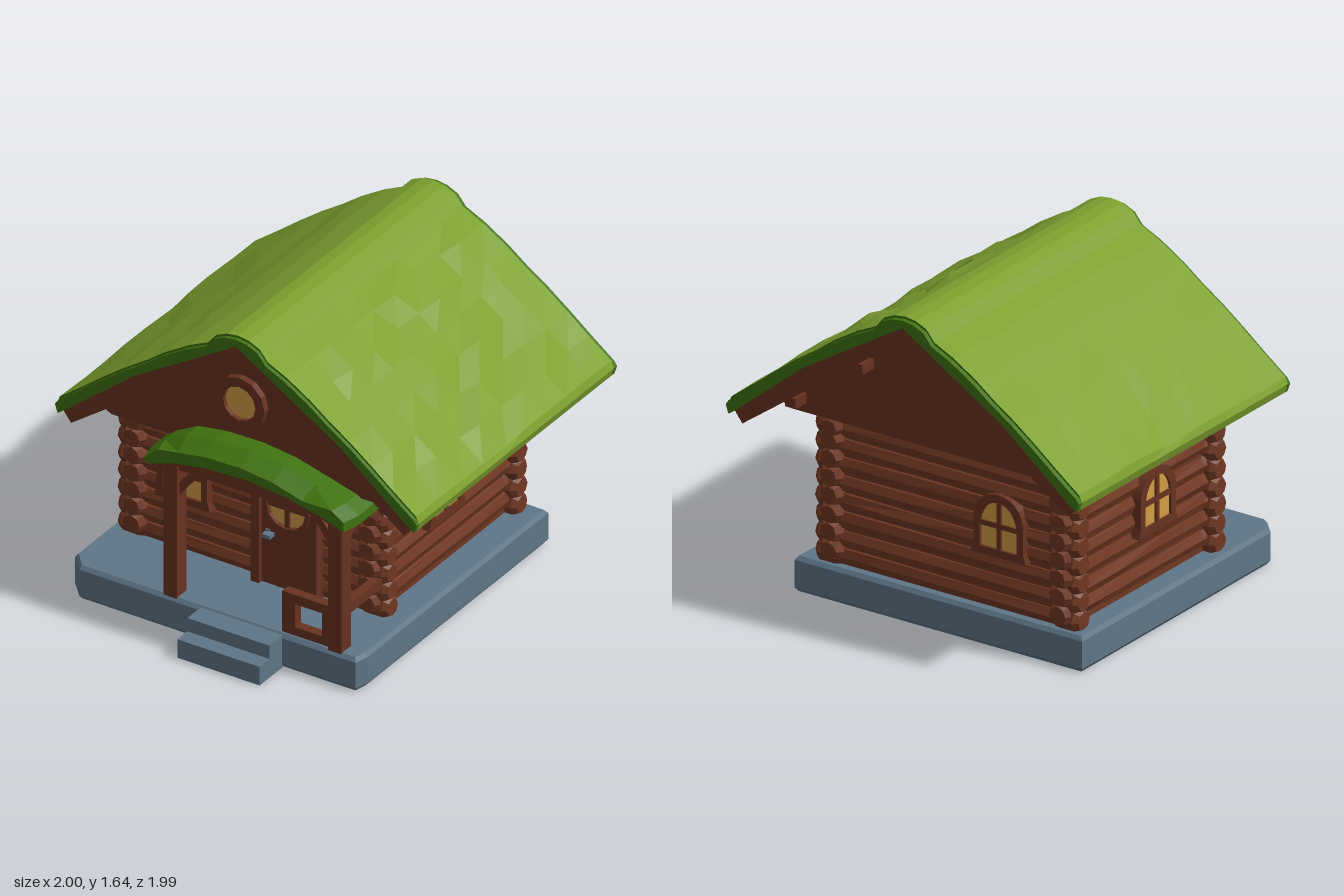
import * as THREE from 'three';

const mat = (name, color) => {
  const m = new THREE.MeshStandardMaterial({ color });
  m.name = name;
  return m;
};

// Repeatable noise from a position, so coincident corners move together
const noise = (x, y, z) => {
  const s = Math.sin(x * 127.1 + y * 311.7 + z * 74.7) * 43758.5453;
  return (s - Math.floor(s)) * 2 - 1;
};

export function createModel() {
  const house = new THREE.Group();
  house.name = 'logCabin';
  const grass = mat('grass green', 0x7ca02f);
  const moss = mat('dark moss green', 0x40720f);
  const wood = mat('timber brown', 0x673220);
  const logWood = mat('log brown', 0x713823);
  const stone = mat('slate blue', 0x5f7586);
  const glass = mat('window amber', 0xd29c45);

  // Faceted mesh: every face gets its own normal
  const add = (parent, name, geo, material) => {
    const g = geo.index ? geo.toNonIndexed() : geo;
    g.computeVertexNormals();
    const mesh = new THREE.Mesh(g, material);
    mesh.name = name;
    parent.add(mesh);
    return mesh;
  };
  const box = (parent, name, material, x0, x1, y0, y1, z0, z1) => {
    const m = add(parent, name, new THREE.BoxGeometry(x1 - x0, y1 - y0, z1 - z0), material);
    m.position.set((x0 + x1) / 2, (y0 + y1) / 2, (z0 + z1) / 2);
    return m;
  };
  const beam = (parent, name, a, b, w) => {
    const p = new THREE.Vector3(...a), q = new THREE.Vector3(...b);
    const m = add(parent, name, new THREE.BoxGeometry(w, w, p.distanceTo(q)), wood);
    m.position.copy(p).add(q).multiplyScalar(0.5);
    m.lookAt(q);
    return m;
  };
  const shapeOf = pts => new THREE.Shape(pts.map(p => new THREE.Vector2(...p)));
  const extrude = (shape, z0, z1, steps = 1) =>
    new THREE.ExtrudeGeometry(shape, { depth: z1 - z0, steps, bevelEnabled: false, curveSegments: 6 }).translate(0, 0, z0);
  const mirrored = pts => [...pts, ...pts.filter(p => p[0] !== 0).reverse().map(([x, y]) => [-x, y])];

  // Stone foundation with clipped front corners, and steps
  const plan = shapeOf([[-0.875, -0.785], [0.725, -0.785], [0.725, 0.73], [0.71, 0.795], [-0.8, 0.795], [-0.87, 0.72]]);
  const slab = new THREE.ExtrudeGeometry(plan, { depth: 0.14, bevelThickness: 0.02, bevelSize: 0.015, bevelSegments: 1 });
  add(house, 'foundation', slab.rotateX(Math.PI / 2).translate(0, 0.16, 0), stone);
  box(house, 'upperStep', stone, -0.14, 0.315, 0, 0.172, 0.75, 0.915);
  box(house, 'lowerStep', stone, -0.14, 0.315, 0, 0.1, 0.8, 1.0);

  // Log walls: knobbed logs crossing at the corners
  const X0 = -0.745, X1 = 0.555, Z0 = -0.715, Z1 = 0.385, courses = 8, pitch = 0.093;
  const makeLog = (length, seed) => {
    const h = length / 2;
    const profile = [[0, -h], [0.045, -h], [0.063, -h + 0.025], [0.063, -h + 0.11], [0.053, -h + 0.15], [0.055, -0.2],
      [0.052, 0.15], [0.053, h - 0.15], [0.063, h - 0.11], [0.063, h - 0.025], [0.045, h], [0, h]];
    const g = new THREE.LatheGeometry(profile.map(p => new THREE.Vector2(...p)), 8);
    const p = g.attributes.position;
    for (let i = 0; i < p.count; i++) {
      const r = Math.hypot(p.getX(i), p.getZ(i));
      if (r < 0.01) continue;
      const k = 1 + 0.07 * noise(Math.round(p.getX(i) * 1e3), Math.round(p.getY(i) * 1e3), Math.round(p.getZ(i) * 1e3) + seed);
      p.setX(i, p.getX(i) * k);
      p.setZ(i, p.getZ(i) * k);
    }
    return g;
  };
  const walls = new THREE.Group();
  walls.name = 'logWalls';
  house.add(walls);
  for (let i = 0; i < courses; i++) {
    const y = 0.222 + i * pitch;
    for (const z of [Z0, Z1]) {
      const m = add(walls, 'crossLog', makeLog(X1 - X0 + 0.19, i + z), logWood);
      m.rotation.z = Math.PI / 2;
      m.position.set((X0 + X1) / 2, y, z);
    }
    for (const x of [X0, X1]) {
      const m = add(walls, 'sideLog', makeLog(Z1 - Z0 + 0.16, i + x + 20), logWood);
      m.rotation.x = Math.PI / 2;
      m.position.set(x, y + (i < courses - 1 ? 0.03 : 0), (Z0 + Z1) / 2);
    }
  }
  box(walls, 'wallCore', logWood, X0 - 0.03, X1 + 0.03, 0.17, 0.95, Z0 - 0.03, Z1 + 0.03);

  // Attic with triangular gables
  add(house, 'attic', extrude(shapeOf(mirrored([[0, 1.56], [0.8, 0.97], [0.74, 0.94]])), -0.83, 0.64), wood);

  // Timber roof deck, open underneath
  const deck = [[0, 1.605], [0.57, 1.25], [0.97, 0.93], [0.92, 0.865], [0, 1.525]];
  add(house, 'roofDeck', extrude(shapeOf(mirrored(deck)), -0.965, 0.705), wood);
  for (const s of [-1, 1]) {
    for (const [x, y] of [[0.3, 1.26], [0.68, 0.99]]) {
      box(house, 'purlinEnd', wood, s * x - 0.03, s * x + 0.03, y, y + 0.05, -0.92, -0.8);
    }
  }

  // Uneven turf roof with a rounded ridge and mossy rims at both ends
  const turfTop = [[0, 1.64], [0.06, 1.632], [0.12, 1.605], [0.165, 1.55], [0.27, 1.5], [0.4, 1.42], [0.5, 1.345],
    [0.62, 1.265], [0.74, 1.175], [0.86, 1.08], [0.985, 0.985]];
  const turfUnder = [[1.0, 0.95], [0.985, 0.905], [0.95, 0.93], [0.57, 1.24], [0, 1.59]];
  const turfGeo = extrude(shapeOf(mirrored([...turfTop, ...turfUnder])), -0.96, 0.7, 9);
  const tp = turfGeo.attributes.position;
  for (let i = 0; i < tp.count; i++) {
    const x = tp.getX(i), y = tp.getY(i), z = tp.getZ(i), ax = Math.abs(x);
    const bump = noise(Math.round(x * 100), Math.round(y * 100), Math.round(z * 100));
    const top = turfTop.some(p => Math.abs(p[0] - ax) < 0.001 && Math.abs(p[1] - y) < 0.001);
    if (top && ax > 0.2 && z > -0.95 && z < 0.69) {
      tp.setXYZ(i, x + (ax < 0.95 ? 0.02 * bump : 0), y + 0.01 * bump, z + 0.04 * bump);
    }
  }
  add(house, 'turfRoof', turfGeo, [moss, grass]);
  const rimShape = shapeOf(mirrored([...turfTop.map(([x, y]) => [x, y - 0.012]), ...turfUnder]));
  add(house, 'frontTurfRim', extrude(rimShape, 0.69, 0.72), moss);
  add(house, 'backTurfRim', extrude(rimShape, -0.985, -0.95), moss);

  // Windows: arched frame, thin pane and glazing bars, facing +z
  const archShape = (w, top, bottom, foot) => {
    const s = new THREE.Shape();
    s.moveTo(-foot, bottom);
    s.lineTo(foot, bottom);
    s.lineTo(w, bottom + 0.05);
    s.lineTo(w, top - 0.12);
    s.quadraticCurveTo(w * 0.85, top - 0.01, 0, top);
    s.quadraticCurveTo(-w * 0.85, top - 0.01, -w, top - 0.12);
    s.lineTo(-w, bottom + 0.05);
    return s;
  };
  const makeWindow = (x, z, turn) => {
    const w = new THREE.Group();
    w.name = 'archedWindow';
    const frame = archShape(0.14, 0.78, 0.46, 0.155);
    const pane = archShape(0.105, 0.74, 0.5, 0.105);
    frame.holes.push(pane);
    add(w, 'windowFrame', extrude(frame, -0.03, 0.04), wood);
    add(w, 'windowPane', extrude(pane, 0.018, 0.026), glass);
    box(w, 'uprightBar', wood, -0.012, 0.012, 0.5, 0.745, 0.015, 0.036);
    box(w, 'crossBar', wood, -0.108, 0.108, 0.605, 0.63, 0.015, 0.036);
    w.position.set(x, 0, z);
    w.rotation.y = turn;
    house.add(w);
  };
  makeWindow(-0.46, Z1 + 0.045, 0);
  makeWindow(-0.41, Z0 - 0.04, Math.PI);
  makeWindow(X1 + 0.045, -0.1, Math.PI / 2);
  makeWindow(X0 - 0.045, -0.1, -Math.PI / 2);

  // Round windows for the gable and the door
  const roundWindow = (name, x, y, z, rOuter, rInner) => {
    const g = new THREE.Group();
    g.name = name;
    const ring = new THREE.Shape().absarc(0, 0, rOuter, 0, Math.PI * 2);
    ring.holes.push(new THREE.Path().absarc(0, 0, rInner, 0, Math.PI * 2, true));
    add(g, 'roundFrame', extrude(ring, -0.01, 0.035), wood);
    add(g, 'roundPane', new THREE.CircleGeometry(rInner + 0.005, 12).translate(0, 0, 0.012), glass);
    g.position.set(x, y, z);
    house.add(g);
    return g;
  };
  roundWindow('gableWindow', -0.01, 1.255, 0.64, 0.14, 0.09);

  // Front door
  box(house, 'doorPanel', wood, -0.03, 0.255, 0.18, 0.81, 0.4, 0.46);
  box(house, 'doorJambRight', wood, -0.07, -0.025, 0.18, 0.85, 0.4, 0.485);
  box(house, 'doorJambLeft', wood, 0.25, 0.295, 0.18, 0.85, 0.4, 0.485);
  box(house, 'doorLintel', wood, -0.07, 0.295, 0.8, 0.85, 0.4, 0.487);
  const doorWindow = roundWindow('doorWindow', 0.13, 0.635, 0.46, 0.13, 0.107);
  box(doorWindow, 'uprightBar', wood, -0.012, 0.012, -0.11, 0.11, 0, 0.025);
  box(doorWindow, 'crossBar', wood, -0.11, 0.11, -0.012, 0.012, 0, 0.025);
  box(house, 'doorHandle', stone, 0, 0.045, 0.445, 0.465, 0.46, 0.5);
  box(house, 'handlePlate', stone, 0, 0.02, 0.43, 0.475, 0.46, 0.468);

  // Porch: posts, beams, braces and railing
  const porch = new THREE.Group();
  porch.name = 'porch';
  house.add(porch);
  for (const [x, s] of [[-0.31, 1], [0.6, -1]]) {
    box(porch, 'porchPost', wood, x - 0.038, x + 0.038, 0.17, 0.92, 0.72, 0.8);
    beam(porch, 'frontBrace', [x + s * 0.02, 0.74, 0.76], [x + s * 0.13, 0.88, 0.76], 0.04);
    beam(porch, 'sideBrace', [x, 0.74, 0.73], [x, 0.86, 0.6], 0.04);
    beam(porch, 'wallBrace', [x, 0.73, 0.45], [x, 0.86, 0.6], 0.04);
    beam(porch, 'sideBeam', [x, 0.885, 0.42], [x, 0.885, 0.8], 0.05);
  }
  box(porch, 'frontBeam', wood, -0.38, 0.63, 0.865, 0.93, 0.725, 0.785);
  beam(porch, 'sideRail', [0.6, 0.37, 0.42], [0.6, 0.37, 0.74], 0.05);
  const panel = shapeOf([[0.3, 0.18], [0.57, 0.18], [0.57, 0.4], [0.3, 0.4]]);
  panel.holes.push(new THREE.Path([[0.37, 0.225], [0.37, 0.35], [0.52, 0.35], [0.52, 0.225]].map(p => new THREE.Vector2(...p))));
  add(porch, 'railingPanel', extrude(panel, 0.735, 0.785), wood);

  // Sagging mossy porch roof, rounded down at its front edge
  const upper = [[0.69, 0.91], [0.62, 0.955], [0.45, 1.0], [0.28, 1.045], [0.1, 1.065], [-0.1, 1.06], [-0.26, 1.035], [-0.38, 0.97], [-0.46, 0.9]];
  const lower = [[-0.44, 0.875], [-0.28, 0.925], [-0.1, 0.955], [0.12, 0.965], [0.35, 0.945], [0.55, 0.905], [0.69, 0.86]];
  const mossGeo = extrude(shapeOf([...upper, ...lower]), 0.45, 0.83, 4);
  const mp = mossGeo.attributes.position;
  for (let i = 0; i < mp.count; i++) {
    if (mp.getZ(i) > 0.8) {
      mp.setX(i, 0.115 + (mp.getX(i) - 0.115) * 0.96);
      if (mp.getY(i) > 0.985) mp.setY(i, mp.getY(i) - 0.045);
    }
  }
  add(porch, 'porchRoof', mossGeo, moss);
  const ceiling = [...lower.map(([x, y]) => [x * 0.95, y + 0.01]).reverse(), ...lower.map(([x, y]) => [x * 0.93, y - 0.03])];
  add(porch, 'porchCeiling', extrude(shapeOf(ceiling), 0.44, 0.8), wood);

  return house;
}
